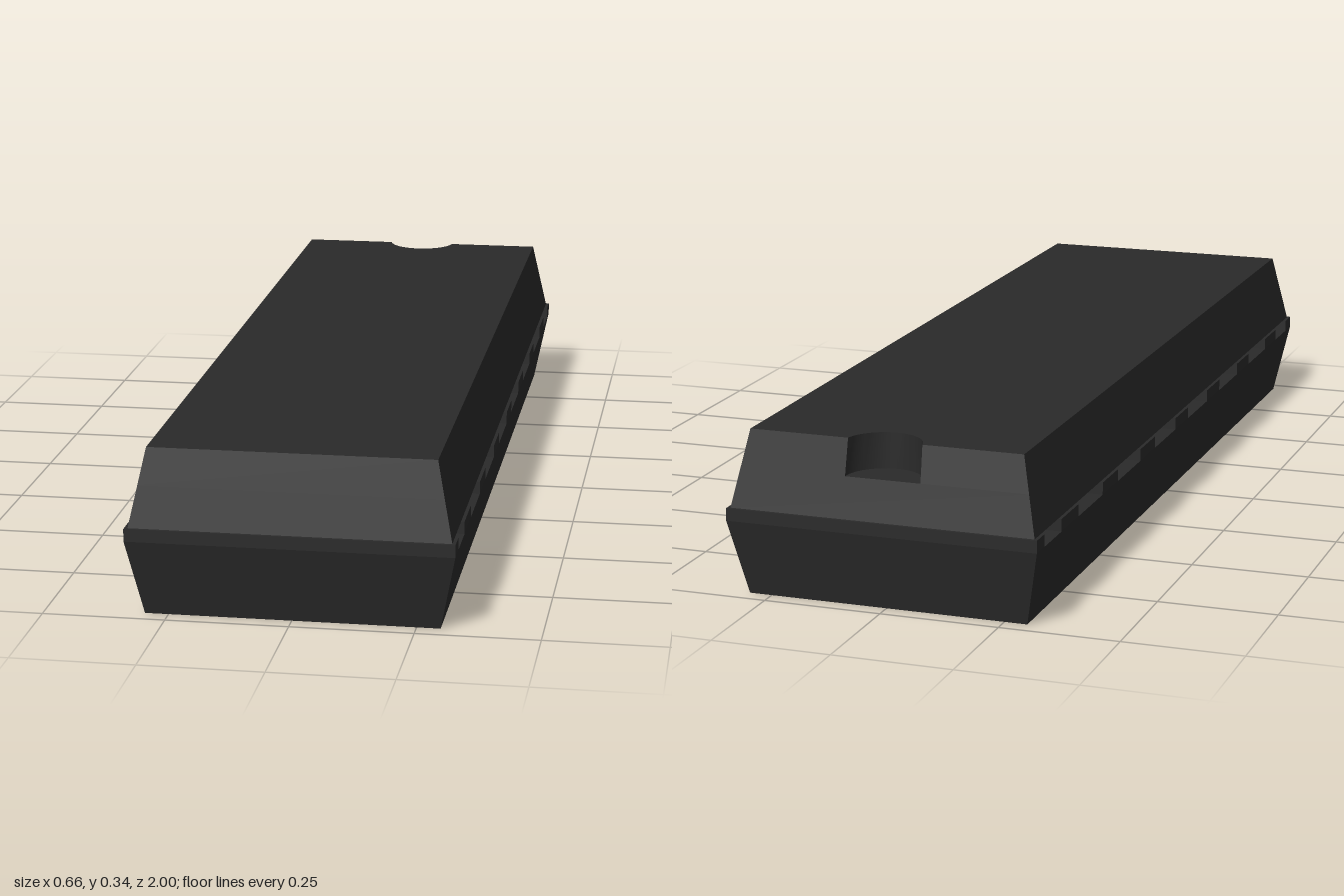
import * as THREE from 'three';
import { toCreasedNormals } from 'three/addons/utils/BufferGeometryUtils.js';

const NOTCH_Z = -0.973, NOTCH_R = 0.08, NOTCH_FLOOR = 0.27;
const SEAM_LOW = 0.16, SEAM_HIGH = 0.186, TOP = 0.345;

// Rectangle outline in (x, -z), counter-clockwise, optionally with a round notch in the back edge
function outline(hx, hz, notched) {
  const points = [new THREE.Vector2(hx, -hz), new THREE.Vector2(hx, hz)];
  if (notched) {
    const start = Math.asin((-hz - NOTCH_Z) / NOTCH_R);
    const steps = 24;
    for (let i = 0; i <= steps; i++) {
      const a = start + (Math.PI - 2 * start) * i / steps;
      points.push(new THREE.Vector2(NOTCH_R * Math.cos(a), -NOTCH_Z - NOTCH_R * Math.sin(a)));
    }
  }
  points.push(new THREE.Vector2(-hx, hz), new THREE.Vector2(-hx, -hz));
  return points;
}

// Closed solid between two outlines with the same number of points
function loft(low, y0, high, y1) {
  const pos = [];
  const put = (p, y) => pos.push(p.x, y, -p.y);
  low.forEach((a, i) => {
    const j = (i + 1) % low.length;
    put(a, y0); put(low[j], y0); put(high[j], y1);
    put(a, y0); put(high[j], y1); put(high[i], y1);
  });
  for (const [a, b, c] of THREE.ShapeUtils.triangulateShape(high, [])) {
    put(high[a], y1); put(high[b], y1); put(high[c], y1);
  }
  for (const [a, b, c] of THREE.ShapeUtils.triangulateShape(low, [])) {
    put(low[a], y0); put(low[c], y0); put(low[b], y0);
  }
  const geometry = new THREE.BufferGeometry();
  geometry.setAttribute('position', new THREE.Float32BufferAttribute(pos, 3));
  return toCreasedNormals(geometry, Math.PI / 6);
}

export function createModel() {
  const group = new THREE.Group();
  const material = new THREE.MeshStandardMaterial({ color: 0x2a2a2a });
  const add = (name, geometry) => {
    const mesh = new THREE.Mesh(geometry, material);
    mesh.name = name;
    group.add(mesh);
    return mesh;
  };

  // Lower half, widening up to the seam
  add('lowerBody', loft(outline(0.298, 0.965), 0, outline(0.33, 1), SEAM_LOW));

  // Seam blocks, leaving eight lead slots that run across the body
  const slots = [[0.05, 0.21], [0.317, 0.477], [0.583, 0.743], [0.85, 0.953]];
  const edges = [0, ...slots.flat(), 1];
  for (let i = 0; i < edges.length; i += 2) {
    const z0 = i === 0 ? -edges[1] : edges[i];
    const z1 = edges[i + 1];
    for (const side of i === 0 ? [1] : [1, -1]) {
      const block = add('seamBlock', new THREE.BoxGeometry(0.66, SEAM_HIGH - SEAM_LOW, z1 - z0));
      block.position.set(0, (SEAM_LOW + SEAM_HIGH) / 2, side * (z0 + z1) / 2);
    }
  }

  // Upper half, tapering in; its top layer carries the orientation notch
  const t = (NOTCH_FLOOR - SEAM_HIGH) / (TOP - SEAM_HIGH);
  const midX = THREE.MathUtils.lerp(0.323, 0.29, t);
  const midZ = THREE.MathUtils.lerp(0.993, 0.959, t);
  add('upperBody', loft(outline(0.323, 0.993), SEAM_HIGH, outline(midX, midZ), NOTCH_FLOOR));
  add('notchedTop', loft(outline(midX, midZ, true), NOTCH_FLOOR, outline(0.29, 0.959, true), TOP));

  return group;
}
